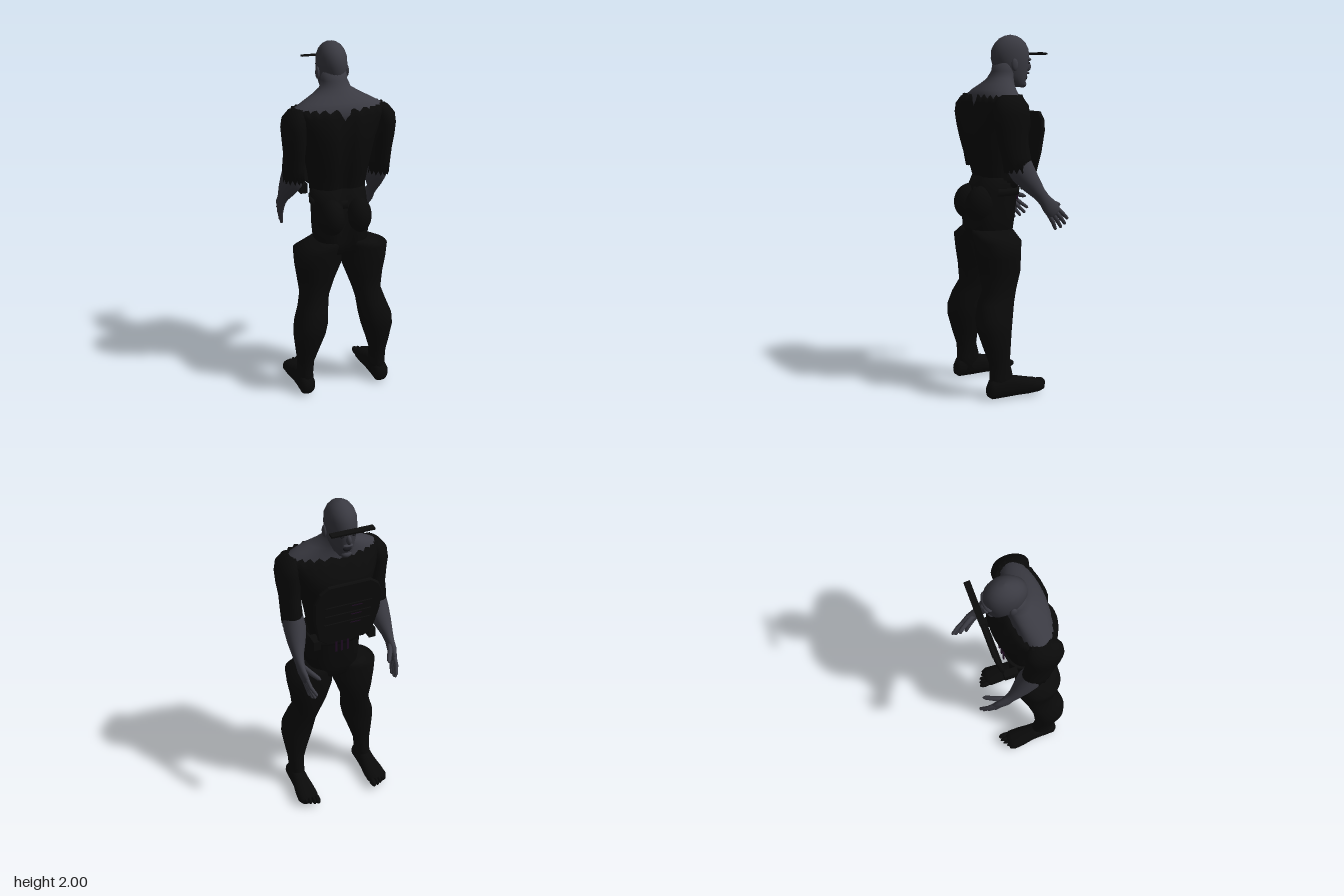
import * as THREE from 'three';

const mat = (name, color, side = THREE.FrontSide) => {
  const m = new THREE.MeshStandardMaterial({ color, side });
  m.name = name;
  return m;
};

export function createModel() {
  const root = new THREE.Group();
  root.name = 'standingMan';
  const skin = mat('greySkin', 0x3a3a42);
  const cloth = mat('blackCloth', 0x0a0a0a, THREE.DoubleSide);
  const armour = mat('blackArmour', 0x0c0c0c);
  const purple = mat('darkPurple', 0x1e0a22);
  const dark = mat('mouthDark', 0x1a1a1f);

  const add = (name, geo, material, parent = root) => {
    const mesh = new THREE.Mesh(geo, material);
    mesh.name = name;
    parent.add(mesh);
    return mesh;
  };
  const ball = (name, m, x, y, z, rx, ry, rz) => {
    const b = add(name, new THREE.SphereGeometry(1, 20, 14), m);
    b.position.set(x, y, z);
    b.scale.set(rx, ry, rz);
    return b;
  };
  const box = (name, m, w, h, d, x, y, z, parent = root) => {
    const b = add(name, new THREE.BoxGeometry(w, h, d), m, parent);
    b.position.set(x, y, z);
    return b;
  };

  // Skin over elliptical rings [x, y, z, a, b]; rings follow the path unless dir is set
  function loft(rings, { dir, n = 28, e = 1, jagStart = 0, jagEnd = 0 } = {}) {
    const pos = [], idx = [], C = rings.map(r => new THREE.Vector3(r[0], r[1], r[2]));
    const last = rings.length - 1;
    const pw = v => Math.sign(v) * Math.abs(v) ** e;
    rings.forEach((r, i) => {
      const t = dir ? dir.clone() : C[Math.min(i + 1, last)].clone().sub(C[Math.max(i - 1, 0)]).normalize();
      const u = new THREE.Vector3(1, 0, 0).addScaledVector(t, -t.x).normalize();
      const v = t.clone().cross(u);
      const jag = i === 0 ? jagStart : i === last ? jagEnd : 0;
      for (let j = 0; j < n; j++) {
        const q = j / n * Math.PI * 2;
        const p = C[i].clone().addScaledVector(u, r[3] * pw(Math.cos(q))).addScaledVector(v, r[4] * pw(Math.sin(q)));
        p.addScaledVector(t, jag * (j % 2 ? 1 : -1));
        pos.push(p.x, p.y, p.z);
        if (i < last) {
          const k = (j + 1) % n, a = i * n + j, b = i * n + k;
          idx.push(a, b, a + n, b, b + n, a + n);
        }
      }
    });
    const c0 = pos.length / 3, c1 = c0 + 1;
    pos.push(...C[0].toArray(), ...C[last].toArray());
    for (let j = 0; j < n; j++) {
      const k = (j + 1) % n;
      idx.push(c0, k, j, c1, last * n + j, last * n + k);
    }
    const g = new THREE.BufferGeometry();
    g.setAttribute('position', new THREE.Float32BufferAttribute(pos, 3));
    g.setIndex(idx);
    g.computeVertexNormals();
    return g;
  }
  // Upright loft from [y, x0, x1, z0, z1], bottom to top
  const UP = new THREE.Vector3(0, 1, 0);
  const stack = (rows, s = 1, opt = {}) => loft(rows.map(([y, x0, x1, z0, z1]) =>
    [s * (x0 + x1) / 2, y, (z0 + z1) / 2, (x1 - x0) / 2, (z1 - z0) / 2]), { dir: UP, ...opt });
  const sym = rows => rows.map(([y, w, z0, z1]) => [y, -w, w, z0, z1]);
  // Groove down the middle of the back
  const groove = (g, depth) => {
    const p = g.attributes.position;
    for (let i = 0; i < p.count; i++)
      if (p.getZ(i) > 0.1) p.setZ(i, p.getZ(i) - depth * Math.exp(-((p.getX(i) / 0.035) ** 2)));
    g.computeVertexNormals();
    return g;
  };

  // Head, facing -z
  add('head', stack(sym([
    [1.712, 0.03, -0.112, -0.05], [1.735, 0.05, -0.125, 0], [1.775, 0.066, -0.133, 0.045],
    [1.82, 0.077, -0.14, 0.065], [1.87, 0.083, -0.147, 0.08], [1.92, 0.081, -0.143, 0.076],
    [1.955, 0.069, -0.125, 0.055], [1.98, 0.05, -0.1, 0.03], [1.994, 0.027, -0.072, 0],
    [2.0, 0.005, -0.04, -0.03]])), skin);
  ball('nose', skin, 0, 1.825, -0.145, 0.014, 0.026, 0.02);
  ball('brow', skin, 0, 1.865, -0.128, 0.058, 0.014, 0.026);
  ball('chin', skin, 0, 1.728, -0.11, 0.03, 0.02, 0.022);
  ball('upperLip', skin, 0, 1.79, -0.137, 0.028, 0.008, 0.014);
  ball('mouth', dark, 0, 1.767, -0.126, 0.024, 0.016, 0.012);
  for (const s of [1, -1]) {
    ball('ear', skin, s * 0.084, 1.835, -0.02, 0.011, 0.034, 0.02);
    ball('eye', dark, s * 0.032, 1.845, -0.133, 0.013, 0.006, 0.009);
  }
  // Thin bar in front of the brow
  box('visorBar', armour, 0.24, 0.01, 0.034, 0, 1.897, -0.188).rotation.x = -0.12;

  // Neck and bare shoulders
  add('neckAndShoulders', stack(sym([
    [1.58, 0.28, -0.03, 0.19], [1.64, 0.285, -0.03, 0.19], [1.672, 0.25, -0.03, 0.185],
    [1.70, 0.2, -0.03, 0.165], [1.73, 0.14, -0.035, 0.13], [1.76, 0.088, -0.045, 0.1],
    [1.8, 0.073, -0.06, 0.075], [1.85, 0.07, -0.06, 0.065]]), 1, { n: 36 }), skin);

  // Torn shirt and hips
  add('shirt', groove(stack(sym([
    [1.16, 0.152, -0.045, 0.17], [1.22, 0.155, -0.06, 0.172], [1.3, 0.165, -0.075, 0.195],
    [1.4, 0.185, -0.1, 0.217], [1.5, 0.208, -0.12, 0.228], [1.57, 0.235, -0.105, 0.225],
    [1.63, 0.262, -0.06, 0.21], [1.664, 0.265, -0.035, 0.195]]), 1, { n: 48, e: 0.8, jagEnd: 0.012 }), 0.025), cloth);
  add('hips', groove(stack(sym([
    [0.86, 0.12, 0, 0.23], [0.93, 0.15, -0.02, 0.235], [1.0, 0.155, -0.03, 0.24],
    [1.08, 0.155, -0.04, 0.235], [1.14, 0.154, -0.042, 0.21], [1.22, 0.154, -0.05, 0.172]]),
    1, { n: 40, e: 0.75 }), 0.025), cloth);
  add('belt', stack(sym([[1.12, 0.158, -0.055, 0.2], [1.16, 0.158, -0.058, 0.185]]), 1, { e: 0.75 }), armour);

  const legRows = [
    [0.04, 0.18, 0.275, 0.06, 0.21], [0.12, 0.18, 0.267, 0.065, 0.2], [0.2, 0.175, 0.27, 0.085, 0.203],
    [0.28, 0.15, 0.282, 0.08, 0.23], [0.38, 0.115, 0.295, 0.072, 0.26], [0.45, 0.1, 0.288, 0.06, 0.266],
    [0.53, 0.093, 0.258, 0.04, 0.245], [0.6, 0.077, 0.238, 0.018, 0.208], [0.7, 0.04, 0.25, -0.01, 0.218],
    [0.79, 0.003, 0.265, -0.014, 0.232], [0.875, -0.002, 0.272, -0.015, 0.24],
    [0.905, -0.002, 0.2, -0.01, 0.238], [0.93, 0, 0.15, 0, 0.23]];

  for (const s of [1, -1]) {
    // Leg, seat and foot
    add('leg', stack(legRows, s, { e: 0.88 }), cloth);
    ball('buttock', cloth, s * 0.078, 1.07, 0.175, 0.076, 0.105, 0.1);
    add('foot', loft([
      [s * 0.228, 0.045, 0.217, 0.025, 0.03], [s * 0.228, 0.055, 0.195, 0.046, 0.055],
      [s * 0.228, 0.065, 0.12, 0.048, 0.065], [s * 0.228, 0.058, 0.05, 0.05, 0.056],
      [s * 0.23, 0.05, -0.02, 0.06, 0.046], [s * 0.232, 0.046, -0.08, 0.063, 0.036],
      [s * 0.232, 0.044, -0.11, 0.05, 0.026]], { dir: new THREE.Vector3(0, 0, -1), e: 0.85 }), cloth);
    for (let i = 0; i < 5; i++)
      ball('toe', cloth, s * (0.188 + i * 0.023), 0.046, -0.118 + i * i * 0.0035, i ? 0.012 : 0.018, 0.022, 0.037);

    // Sleeve with ragged hem, bare forearm, hand
    const arm = (name, rows, m, opt) => add(name, loft(rows.map(([x, ...r]) => [s * x, ...r]), opt), m);
    arm('sleeve', [
      [0.25, 1.27, 0.045, 0.058, 0.078], [0.252, 1.34, 0.055, 0.058, 0.084], [0.252, 1.42, 0.075, 0.056, 0.088],
      [0.254, 1.5, 0.085, 0.064, 0.095], [0.256, 1.57, 0.085, 0.067, 0.105], [0.25, 1.62, 0.085, 0.066, 0.1],
      [0.238, 1.66, 0.085, 0.045, 0.075], [0.232, 1.675, 0.085, 0.015, 0.04]], cloth, { dir: UP, jagStart: 0.014 });
    arm('forearm', [
      [0.25, 1.36, 0.06, 0.05, 0.07], [0.25, 1.3, 0.04, 0.058, 0.075], [0.25, 1.25, 0.01, 0.062, 0.07],
      [0.26, 1.19, -0.035, 0.05, 0.054], [0.27, 1.135, -0.08, 0.032, 0.038], [0.272, 1.1, -0.11, 0.024, 0.036],
      [0.272, 1.065, -0.14, 0.022, 0.045], [0.265, 1.03, -0.172, 0.018, 0.045],
      [0.26, 1.015, -0.185, 0.01, 0.035]], skin);
    [[1.045, -0.195, 0.985, -0.272], [1.03, -0.185, 0.957, -0.255], [1.015, -0.172, 0.94, -0.227],
      [1.005, -0.155, 0.932, -0.19]].forEach(([y0, z0, y1, z1], i) => arm('finger', [
      [0.268, y0 + 0.02, z0 + 0.02, 0.011, 0.013], [0.258, (y0 + y1) / 2, (z0 + z1) / 2, 0.011, 0.012],
      [0.24 + i * 0.004, y1, z1, 0.009, 0.009], [0.238 + i * 0.004, y1 - 0.004, z1 - 0.005, 0.003, 0.003]],
    skin, { n: 10 }));
    arm('thumb', [[0.265, 1.09, -0.13, 0.015, 0.02], [0.238, 1.075, -0.185, 0.014, 0.016],
      [0.212, 1.062, -0.23, 0.012, 0.012], [0.204, 1.058, -0.244, 0.004, 0.004]], skin, { n: 12 });
    box('beltPouch', armour, 0.04, 0.055, 0.08, s * 0.165, 1.18, -0.065);
  }

  // Tilted chest plate with ribs
  const vest = new THREE.Group();
  vest.name = 'chestPlate';
  vest.position.set(0, 1.38, -0.128);
  vest.rotation.x = -0.15;
  root.add(vest);
  const half = [[0.11, -0.195], [0.155, -0.16], [0.185, -0.02], [0.19, 0.1], [0.165, 0.16], [0.12, 0.195]];
  const outline = [...half, ...half.map(([x, y]) => [-x, y]).reverse()].map(p => new THREE.Vector2(...p));
  const plate = new THREE.ExtrudeGeometry(new THREE.Shape(outline), {
    depth: 0.01, bevelEnabled: true, bevelSize: 0.006, bevelThickness: 0.006, bevelSegments: 1 });
  plate.translate(0, 0, -0.005);
  add('plate', plate, armour, vest);
  for (let i = 0; i < 3; i++) {
    box('rib', armour, 0.27, 0.012, 0.008, 0, 0.06 - i * 0.06, -0.014, vest);
    box('ribAccent', purple, 0.06, 0.004, 0.004, -0.05, 0.045 - i * 0.06, -0.0125, vest);
  }
  // Straps below the plate
  for (const x of [-0.035, 0, 0.035]) box('strap', purple, 0.012, 0.1, 0.008, x, 1.13, -0.06);

  return root;
}
